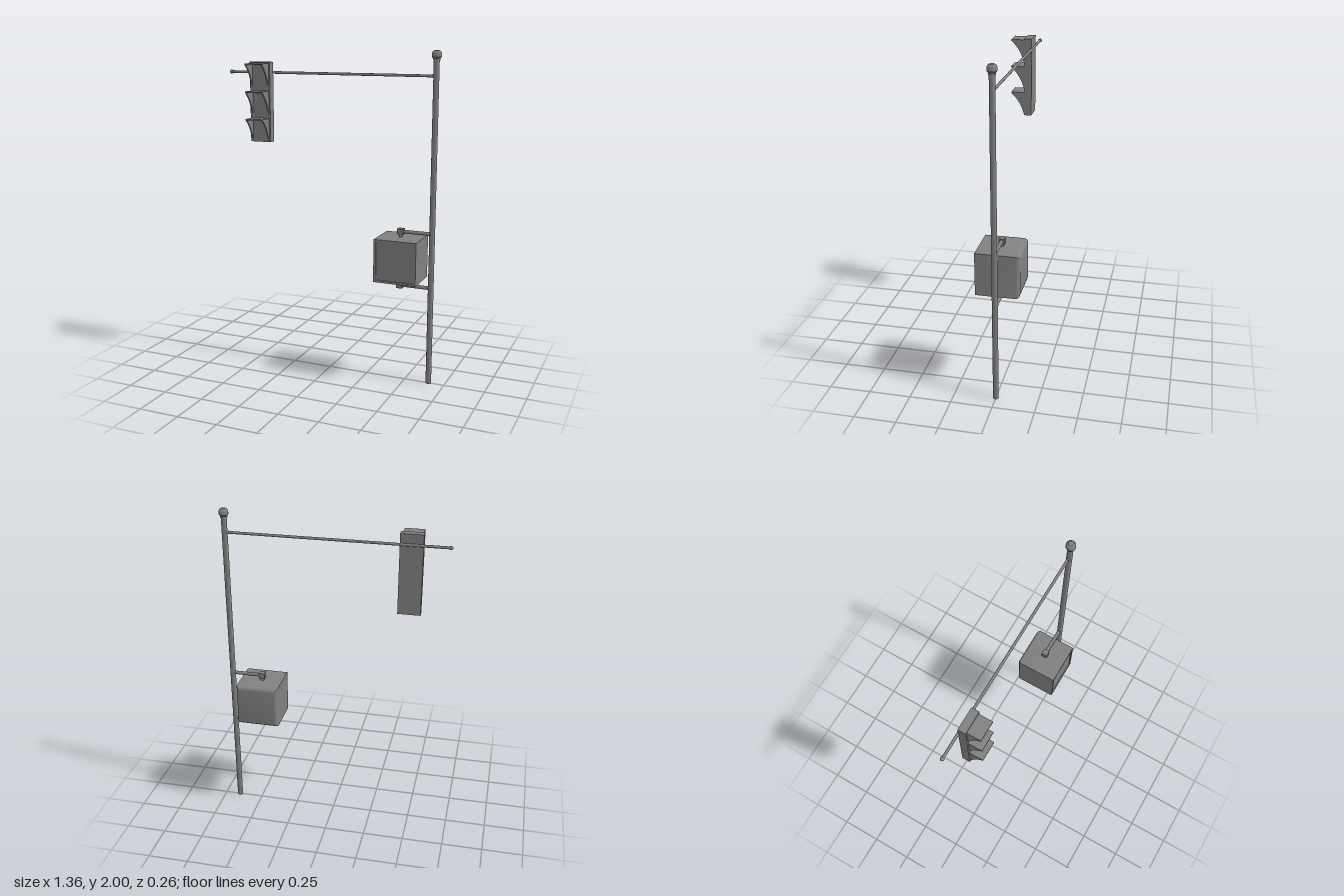
import * as THREE from 'three';
import { toCreasedNormals } from 'three/addons/utils/BufferGeometryUtils.js';

const material = new THREE.MeshStandardMaterial({ color: 0x808080 });

function add(parent, name, geometry, x = 0, y = 0, z = 0) {
  const mesh = new THREE.Mesh(geometry, material);
  mesh.name = name;
  mesh.position.set(x, y, z);
  parent.add(mesh);
  return mesh;
}

const box = (w, h, d) => new THREE.BoxGeometry(w, h, d);

// Cylinder lying along x, centred on its own middle
const rod = (r, length) => new THREE.CylinderGeometry(r, r, length, 16).rotateZ(Math.PI / 2);

// Pole with a small collar and a faceted ball finial, turned in one piece
function poleGeometry() {
  const points = [
    [0, 0], [0.017, 0], [0.017, 1.944], [0.021, 1.944], [0.021, 1.954], [0.028, 1.963],
    [0.028, 1.983], [0.024, 1.992], [0.015, 1.999], [0, 2],
  ].map(([r, y]) => new THREE.Vector2(r, y));
  return toCreasedNormals(new THREE.LatheGeometry(points, 16), 0.6);
}

// Hood over one lamp: flat roof and two cheeks with a concave lower edge
function makeVisor() {
  const visor = new THREE.Group();
  const width = 0.118, wall = 0.008, reach = 0.085;
  const cheek = new THREE.Shape();
  cheek.moveTo(0, 0);
  cheek.lineTo(reach, 0);
  cheek.lineTo(reach, -0.008);
  cheek.quadraticCurveTo(0.027, -0.055, 0.005, -0.138);
  cheek.lineTo(0, -0.138);
  cheek.closePath();
  const geometry = new THREE.ExtrudeGeometry(cheek, { depth: wall, bevelEnabled: false, curveSegments: 10 });
  geometry.rotateY(-Math.PI / 2).translate(wall / 2, 0, 0);
  for (const side of [-1, 1]) {
    add(visor, 'visorCheek', geometry, side * (width - wall) / 2, 0, 0);
  }
  add(visor, 'visorRoof', box(width - 2 * wall, wall, reach), 0, -wall / 2, reach / 2);
  return visor;
}

// Box whose back edges are rounded while its other edges stay sharp
function cabinetGeometry(size, zBack, zFront, radius) {
  const steps = 3;
  const geometry = new THREE.BoxGeometry(size, size, steps + 1, 1, 1, steps + 1);
  const p = geometry.attributes.position;
  for (let i = 0; i < p.count; i++) {
    const ring = Math.round(p.getZ(i) + (steps + 1) / 2);
    if (ring > steps) {
      p.setZ(i, zFront);
      continue;
    }
    const a = (ring / steps) * Math.PI / 2;
    const half = size / 2 - radius * (1 - Math.sin(a));
    p.setXYZ(i, Math.sign(p.getX(i)) * half, Math.sign(p.getY(i)) * half, zBack + radius * (1 - Math.cos(a)));
  }
  return toCreasedNormals(geometry, 0.6);
}

// Square rim with an open middle
function rimGeometry(size, border, depth) {
  const square = (Type, h) => new Type([[-h, -h], [h, -h], [h, h], [-h, h]]
    .map(([x, y]) => new THREE.Vector2(x, y)));
  const shape = square(THREE.Shape, size / 2);
  shape.holes.push(square(THREE.Path, size / 2 - border));
  return new THREE.ExtrudeGeometry(shape, { depth, bevelEnabled: false });
}

export function createModel() {
  const model = new THREE.Group();
  model.name = 'trafficSignal';
  const poleX = 0.652;
  add(model, 'pole', poleGeometry(), poleX);

  // Long overhead arm with a bead at each end
  const armY = 1.856, armStart = -0.67;
  add(model, 'overheadArm', rod(0.008, poleX - armStart), (poleX + armStart) / 2, armY);
  for (const x of [armStart, 0.636]) {
    add(model, 'armBead', new THREE.SphereGeometry(0.012, 12, 8), x, armY);
  }

  // Hanging three-lamp signal
  const signal = new THREE.Group();
  signal.name = 'vehicleSignal';
  signal.position.x = -0.449;
  model.add(signal);
  add(signal, 'signalHousing', box(0.136, 0.488, 0.047), 0, 1.676, 0.0235);
  for (let i = 0; i < 3; i++) {
    const visor = makeVisor();
    visor.name = 'visor';
    visor.position.set(0, 1.912 - i * 0.167, 0.046);
    signal.add(visor);
  }

  // Square pedestrian signal beside the pole
  const cabinet = new THREE.Group();
  cabinet.name = 'pedestrianSignal';
  cabinet.position.set(0.464, 0.772, 0);
  model.add(cabinet);
  add(cabinet, 'cabinetBody', cabinetGeometry(0.262, -0.13, 0.123, 0.023));
  add(cabinet, 'cabinetRim', rimGeometry(0.262, 0.014, 0.007), 0, 0, 0.123);

  // Brackets above and below the cabinet
  const jointX = 0.459;
  for (const side of [-1, 1]) {
    const y = 0.769 + side * 0.166;
    add(model, 'bracketArm', rod(0.011, poleX - jointX), (poleX + jointX) / 2, y);
    add(model, 'bracketJoint', box(0.036, 0.036, 0.036), jointX, y);
    add(model, 'bracketStem', new THREE.CylinderGeometry(0.012, 0.012, 0.045, 16), jointX, y - side * 0.023);
  }
  return model;
}
